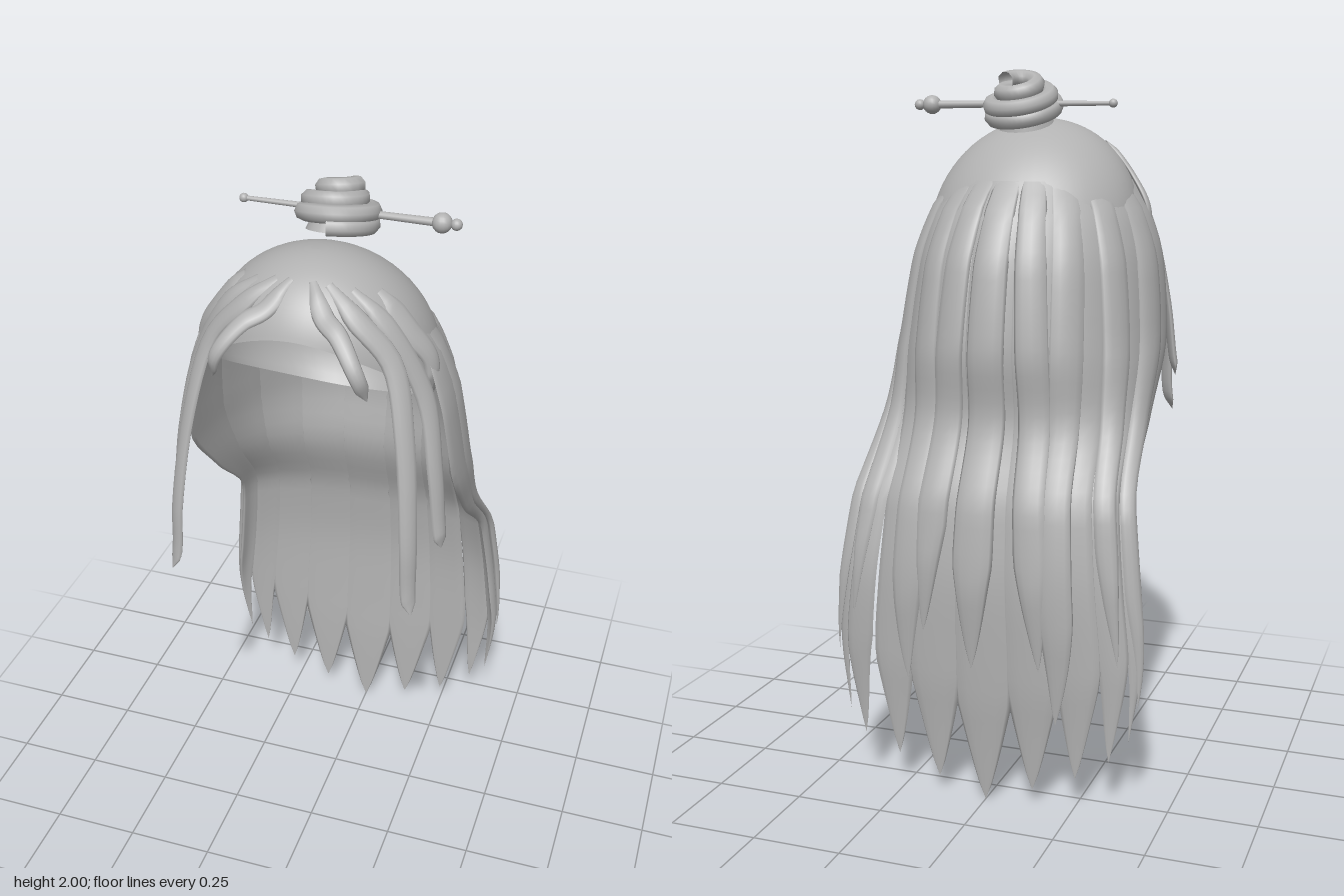
import * as THREE from 'three';

const hair = new THREE.MeshStandardMaterial({ color: 0xb2b2b2, side: THREE.DoubleSide });
hair.name = 'hairGrey';
const RAD = Math.PI / 180;
const V = (x, y, z) => new THREE.Vector3(x, y, z);
const { clamp, smoothstep } = THREE.MathUtils;

function add(parent, name, geometry) {
  const mesh = new THREE.Mesh(geometry, hair);
  mesh.name = name;
  parent.add(mesh);
  return mesh;
}

// Grid of points fn(i, j) joined by smooth faces
function grid(rows, cols, fn) {
  const pos = [], idx = [];
  for (let i = 0; i <= rows; i++) {
    for (let j = 0; j < cols; j++) {
      pos.push(...fn(i / rows, j / cols).toArray());
      if (i === rows) continue;
      const a = i * cols + j, b = i * cols + (j + 1) % cols;
      idx.push(a, a + cols, b, b, a + cols, b + cols);
    }
  }
  const g = new THREE.BufferGeometry();
  g.setAttribute('position', new THREE.Float32BufferAttribute(pos, 3));
  g.setIndex(idx);
  g.computeVertexNormals();
  return g;
}

// Lens-shaped lock: surface(s, t) spans the width, normal(t) gives the outside
function lock(rows, thickness, surface, normal) {
  return grid(rows, 12, (t, u) => {
    const a = u * Math.PI * 2, h = Math.sin(a);
    const ends = Math.min(1, 0.2 + t * 8, (1 - t) * 6);
    return surface(Math.cos(a), t).addScaledVector(normal(t), h * ends * thickness * (h > 0 ? 1 : 0.4));
  });
}

// Point on the scalp: azimuth from the front, polar angle from the crown
function scalp(az, polar) {
  const s = Math.sin(polar * RAD), c = Math.cos(polar * RAD);
  return V(0.3 * s * Math.sin(az * RAD), 1.56 + 0.31 * c, 0.08 + 0.285 * s * Math.cos(az * RAD) + 0.07 * c);
}

// Long hair sheet: (half width, back z, front z) at even steps of height
const TOP = 1.7;
const sheet = new THREE.CatmullRomCurve3([
  V(0.28, -0.165, 0.17), V(0.345, -0.262, 0.18), V(0.37, -0.296, 0.14),
  V(0.37, -0.278, -0.03), V(0.378, -0.345, -0.235), V(0.4, -0.365, -0.262),
  V(0.422, -0.358, -0.277), V(0.41, -0.346, -0.302), V(0.4, -0.338, -0.332),
]);
function sheetPoint(deg, y, out) {
  const t = clamp((TOP - y) / TOP, 0, 1);
  const p = sheet.getPoint(t), th = deg * RAD;
  const c = Math.sign(Math.cos(th)) * Math.pow(Math.abs(Math.cos(th)), 1 - 0.45 * t);
  return V((p.x + out) * Math.sin(th), y, p.z + (p.y - out - p.z) * c);
}
// The root tucks against the scalp; sweep carries the lower half backwards
function longLock(deg, half, tip, { out = 0, lean = 0, sweep = 0 }) {
  const n = V(Math.sin(deg * RAD), 0, -Math.cos(deg * RAD));
  return lock(36, 0.016, (s, t) => {
    const y = TOP + (tip - TOP) * t;
    const w = half * Math.pow(Math.min(1, (y - tip) / 0.3 + 1e-4), 0.8);
    const lift = out * (0.4 * Math.min(1, t * 6) + 0.6 * smoothstep(t, 0.4, 0.7))
      - 0.02 * Math.max(0, 1 - t * 18);
    const p = sheetPoint(deg + lean * t + s * w, y, lift);
    p.z -= sweep * smoothstep(y, 0.6, 1.1) * -1 + sweep - sweep * 0.5 * (1 - smoothstep(y, 0, 0.6));
    return p;
  }, () => n);
}

// Free-hanging lock following a path over the forehead
function fringeLock(points, half) {
  const curve = new THREE.CatmullRomCurve3(points);
  const centre = V(0, 1.45, 0.03);
  const outside = t => {
    const n = curve.getPoint(t).sub(centre), d = curve.getTangent(t);
    n.y = Math.max(n.y, 0);
    return n.addScaledVector(d, -n.dot(d)).normalize();
  };
  return lock(28, 0.014, (s, t) => {
    const side = curve.getTangent(t).cross(outside(t)).normalize();
    const w = half * Math.min(1, 0.35 + t * 4, 1.25 - t * 0.6, (1 - t) * 6 + 0.05);
    return curve.getPoint(t).addScaledVector(side, s * w);
  }, outside);
}

export function createModel() {
  const model = new THREE.Group();
  model.name = 'hairstyle';

  // Scalp shell, cut high at the forehead and low at the nape
  add(model, 'scalpCap', grid(24, 48, (t, u) => {
    const az = u * 360, c = Math.cos(az * RAD);
    return scalp(az, t * (100 - 41 * c + 8 * (1 - c * c)));
  }));

  // Long back hair: full locks with shorter ones lying over them
  const back = new THREE.Group();
  back.name = 'backHair';
  model.add(back);
  const tips = [0, 0.05, 0.1, 0.16, 0.22];
  for (let i = -4; i <= 4; i++) {
    add(back, 'longLock', longLock(i * 20, 11.5, tips[Math.abs(i)], { sweep: i > 2 ? 0.05 : 0 }));
  }
  add(back, 'overlayLock', longLock(0, 8, 0.4, { out: 0.026, lean: 3 }));
  const overlays = [[16, 7, 0.45, 6], [33, 7.5, 0.3, -4], [52, 7, 0.48, 6], [73, 8, 0.36, 3]];
  for (const side of [-1, 1]) {
    for (const [deg, half, tip, lean] of overlays) {
      const sweep = side * deg > 45 ? 0.04 : 0;
      add(back, 'overlayLock', longLock(side * deg, half, tip + side * 0.04, { out: 0.024, lean: side * lean, sweep }));
    }
  }

  // Fringe locks, mirrored
  const fringe = new THREE.Group();
  fringe.name = 'fringe';
  model.add(fringe);
  const paths = [
    ['shortFringeLock', 0.026, [scalp(12, 26), scalp(20, 46), V(0.12, 1.75, 0.355), V(0.175, 1.68, 0.395), V(0.2, 1.6, 0.375)]],
    ['longFringeLock', 0.03, [scalp(28, 28), scalp(40, 48), V(0.235, 1.66, 0.285), V(0.285, 1.47, 0.33), V(0.315, 1.2, 0.38), V(0.322, 1.05, 0.39), V(0.335, 1, 0.405)]],
    ['sideFringeLock', 0.029, [scalp(48, 33), scalp(58, 56), V(0.305, 1.55, 0.225), V(0.345, 1.35, 0.25), V(0.365, 1.18, 0.26), V(0.375, 1.13, 0.265)]],
    ['templeLock', 0.034, [scalp(70, 38), scalp(72, 62), V(0.3, 1.63, 0.17), V(0.31, 1.55, 0.17)]],
  ];
  for (const [name, half, pts] of paths) {
    for (const side of [-1, 1]) {
      add(fringe, name, fringeLock(pts.map(p => V(p.x * side, p.y, p.z)), half));
    }
  }

  // Coiled bun leaning back
  const bun = new THREE.Group();
  bun.name = 'bun';
  model.add(bun);
  const coil = [];
  for (let i = 0; i <= 42; i++) {
    const t = i / 42, a = t * Math.PI * 2 * 3.25;
    const r = 0.087 - 0.045 * smoothstep(t, 0.4, 0.85);
    const z = r * Math.cos(a);
    coil.push(V(r * Math.sin(a), 1.872 + 0.095 * t + z * 0.32, -0.005 - 0.04 * t + z));
  }
  add(bun, 'bunCoil', new THREE.TubeGeometry(new THREE.CatmullRomCurve3(coil), 120, 0.024, 8));
  const core = add(bun, 'bunCore', new THREE.CylinderGeometry(0.045, 0.08, 0.09, 20));
  core.position.set(0, 1.895, -0.02);
  core.rotation.x = -0.32;

  // Hairpin through the bun
  const pin = new THREE.Group();
  pin.name = 'hairpin';
  pin.position.set(0, 1.905, -0.02);
  model.add(pin);
  add(pin, 'pinRod', new THREE.CylinderGeometry(0.006, 0.011, 0.53, 12)).rotation.z = Math.PI / 2;
  for (const [x, r] of [[-0.256, 0.012], [0.27, 0.026], [0.307, 0.015]]) {
    add(pin, 'pinBead', new THREE.SphereGeometry(r, 16, 12)).position.x = x;
  }
  return model;
}
